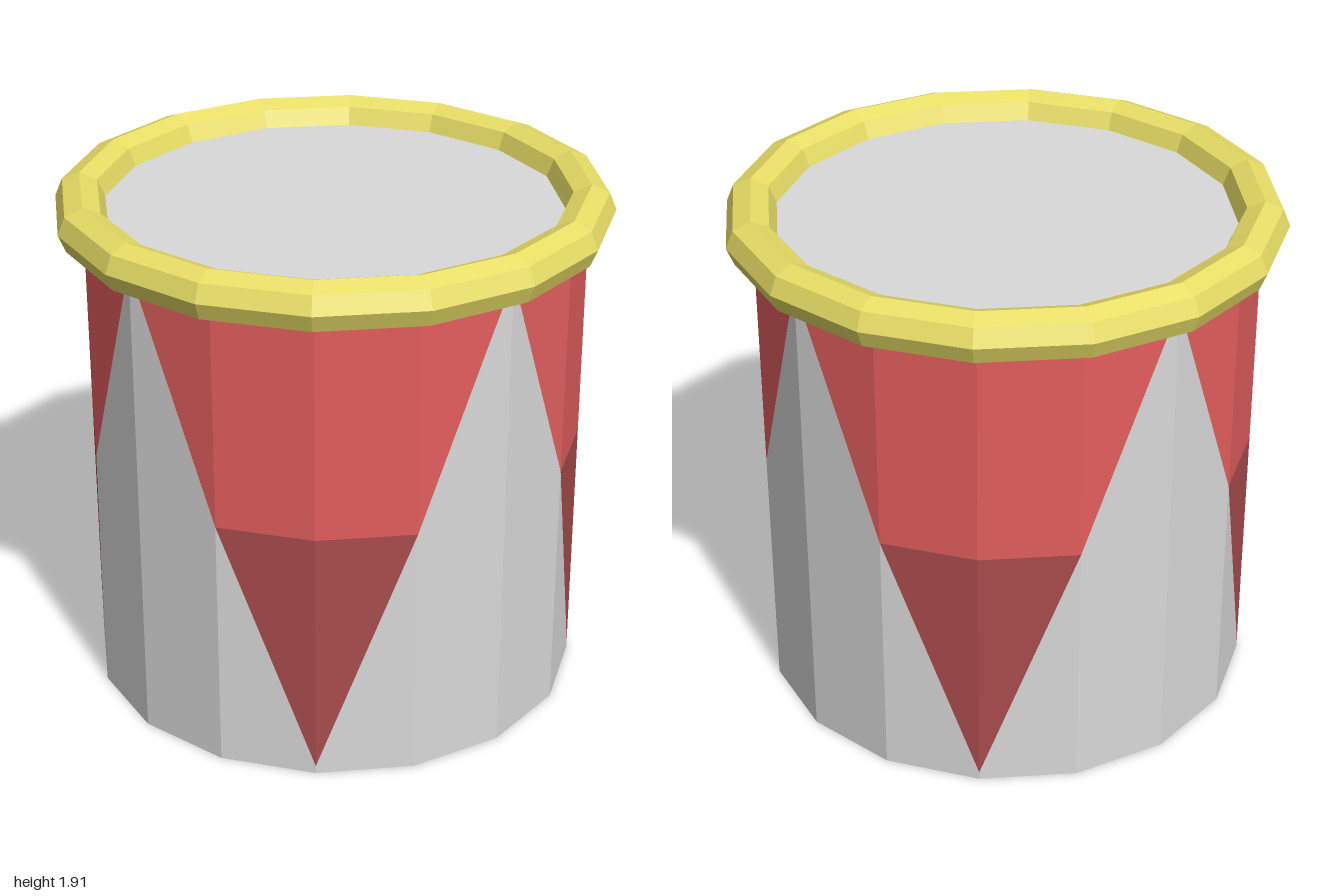
import * as THREE from 'three';

const SIDES = 16, RADIUS = 0.905, TOP = 1.82, SPLIT = 0.95, TIP = 0.03;

function material(name, color, options = {}) {
  const m = new THREE.MeshStandardMaterial({ color, flatShading: true, ...options });
  m.name = name;
  return m;
}

// Flat panels from convex outlines of [step around the drum, height]
function panels(name, outlines, mat) {
  const positions = [];
  const point = ([step, y]) => {
    const a = (step / SIDES) * Math.PI * 2;
    return [RADIUS * Math.sin(a), y, RADIUS * Math.cos(a)];
  };
  for (const o of outlines)
    for (let i = 1; i < o.length - 1; i++)
      positions.push(...point(o[0]), ...point(o[i]), ...point(o[i + 1]));
  const geo = new THREE.BufferGeometry();
  geo.setAttribute('position', new THREE.Float32BufferAttribute(positions, 3));
  geo.computeVertexNormals();
  const mesh = new THREE.Mesh(geo, mat);
  mesh.name = name;
  return mesh;
}

export function createModel() {
  const group = new THREE.Group();
  group.name = 'drum';
  const grey = material('light grey', 0xd9d9d9, { side: THREE.DoubleSide });
  const red = material('red', 0xe45e5e, { side: THREE.DoubleSide });
  const darkRed = material('dark red', 0xaa4c4c, { side: THREE.DoubleSide });
  const yellow = material('yellow', 0xe8de66);

  // Open-bottomed wall: four pennants, each mirrored about its tip
  const greys = [], reds = [], darks = [];
  for (let k = 0; k < 4; k++) {
    const tip = k * 4 + 2;
    for (const side of [1, -1]) {
      const add = (list, outline) => {
        const o = outline.map(([s, y]) => [tip + side * s, y]);
        list.push(side > 0 ? o : o.reverse());
      };
      add(greys, [[0, 0], [1, 0], [1, SPLIT], [0, TIP]]);
      add(greys, [[1, 0], [2, 0], [2, TOP], [1, SPLIT]]);
      add(darks, [[0, TIP], [1, SPLIT], [0, SPLIT]]);
      add(reds, [[0, SPLIT], [1, SPLIT], [1, TOP], [0, TOP]]);
      add(reds, [[1, SPLIT], [2, TOP], [1, TOP]]);
    }
  }
  group.add(panels('wall', greys, grey));
  group.add(panels('upperPennants', reds, red));
  group.add(panels('lowerPennants', darks, darkRed));

  // Drum skin
  const skin = new THREE.Mesh(new THREE.CircleGeometry(RADIUS, SIDES), grey);
  skin.rotation.x = -Math.PI / 2;
  skin.position.y = TOP;
  skin.name = 'drumSkin';
  group.add(skin);

  // Faceted rim
  const rim = new THREE.Mesh(new THREE.TorusGeometry(0.91, 0.09, 8, SIDES), yellow);
  rim.rotation.x = -Math.PI / 2;
  rim.position.y = TOP;
  rim.name = 'rim';
  group.add(rim);

  return group;
}
